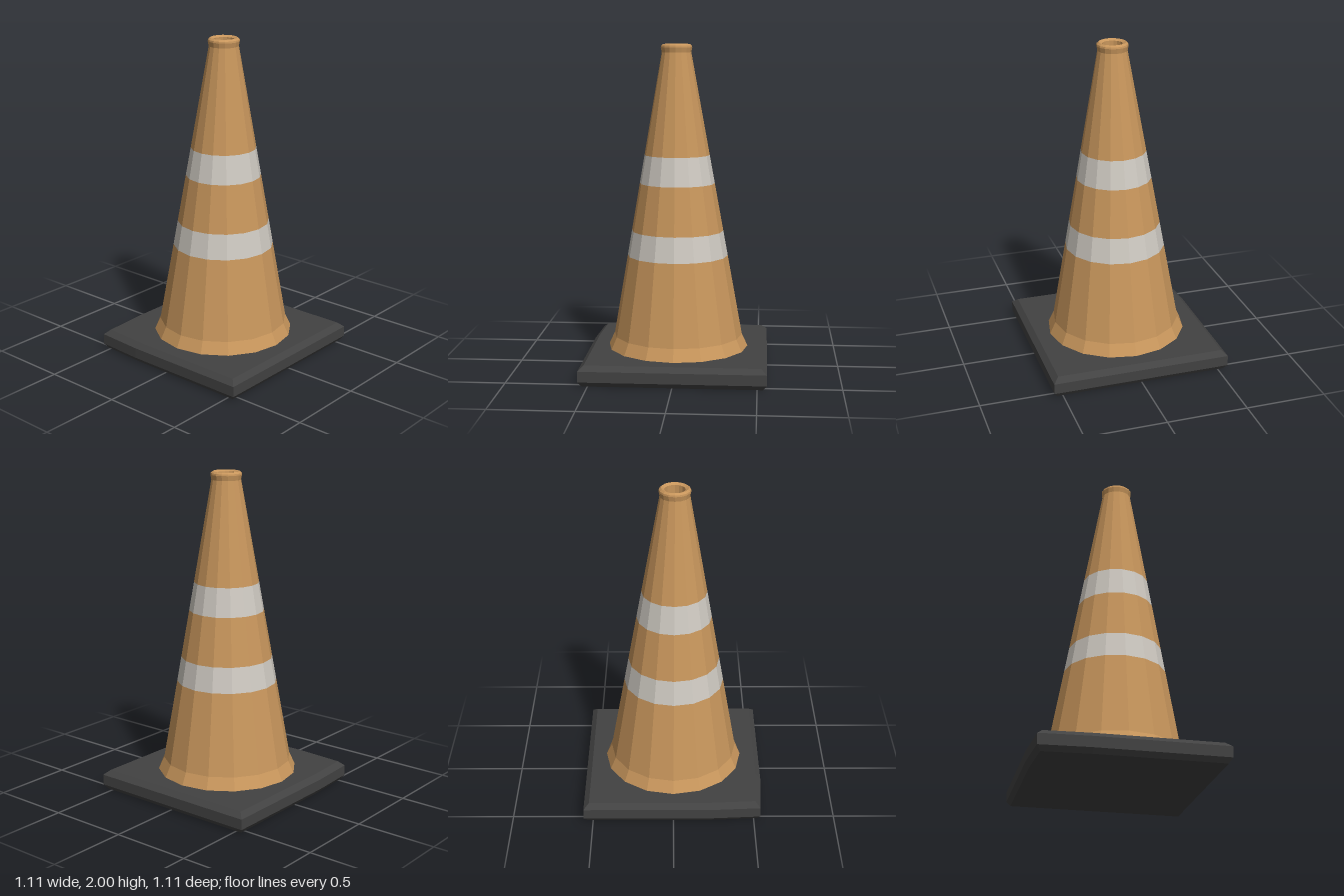
import * as THREE from 'three';

const orange = new THREE.MeshStandardMaterial({ color: 0xc8965c, flatShading: true });
orange.name = 'faded orange';
const white = new THREE.MeshStandardMaterial({ color: 0xcfcac2, flatShading: true });
white.name = 'reflective white';
const rubber = new THREE.MeshStandardMaterial({ color: 0x424242, flatShading: true });
rubber.name = 'dark rubber';

const SIDES = 16;

// Lathed ring from [radius, y] pairs, leaning slightly towards the top
function ring(name, profile, material) {
  const geo = new THREE.LatheGeometry(profile.map(([r, y]) => new THREE.Vector2(r, y)), SIDES);
  const pos = geo.attributes.position;
  for (let i = 0; i < pos.count; i++) {
    const t = (pos.getY(i) - 0.125) / 1.875;
    pos.setX(i, pos.getX(i) + 0.015 * t);
    pos.setZ(i, pos.getZ(i) + 0.01 * t);
  }
  geo.computeVertexNormals();
  const mesh = new THREE.Mesh(geo, material);
  mesh.name = name;
  return mesh;
}

// Square slab with bevelled edges and one worn corner
function baseSlab() {
  const outline = [[-0.557, -0.557], [-0.557, 0.24], [-0.54, 0.54], [-0.24, 0.557], [0.557, 0.557], [0.557, -0.557]];
  const levels = [[0, 0.96], [0.03, 1], [0.095, 1], [0.125, 0.94]];
  const n = outline.length;
  const positions = [];
  const index = [];
  for (const [y, s] of levels) for (const [x, z] of outline) positions.push(x * s, y, z * s);
  for (let l = 0; l < levels.length - 1; l++) {
    for (let i = 0; i < n; i++) {
      const a = l * n + i, b = l * n + (i + 1) % n;
      index.push(a, b, b + n, a, b + n, a + n);
    }
  }
  const top = (levels.length - 1) * n;
  for (let i = 1; i < n - 1; i++) {
    index.push(0, i + 1, i);
    index.push(top, top + i, top + i + 1);
  }
  const geo = new THREE.BufferGeometry();
  geo.setAttribute('position', new THREE.Float32BufferAttribute(positions, 3));
  geo.setIndex(index);
  geo.computeVertexNormals();
  const mesh = new THREE.Mesh(geo, rubber);
  mesh.name = 'base';
  return mesh;
}

export function createModel() {
  const model = new THREE.Group();
  model.name = 'trafficCone';
  model.add(baseSlab());

  // Straight taper of the cone wall
  const wall = (y) => [0.4 - (y - 0.2) * 0.177, y];

  model.add(
    ring('flaredFoot', [[0.435, 0.125], wall(0.2)], orange),
    ring('lowerBody', [wall(0.2), wall(0.7)], orange),
    ring('lowerStripe', [wall(0.7), wall(0.855)], white),
    ring('middleBody', [wall(0.855), wall(1.15)], orange),
    ring('upperStripe', [wall(1.15), wall(1.325)], white),
    ring('upperBody', [wall(1.325), wall(1.95)], orange),
    ring('rim', [wall(1.95), [0.096, 1.98], [0.094, 1.99], [0.082, 2], [0.062, 1.99]], orange),
    // Hollow inside, open down to the base
    ring('innerWall', [[0.062, 1.99], [0.062, 1.93], [0.37, 0.2], [0.4, 0.125]], orange),
  );
  return model;
}
